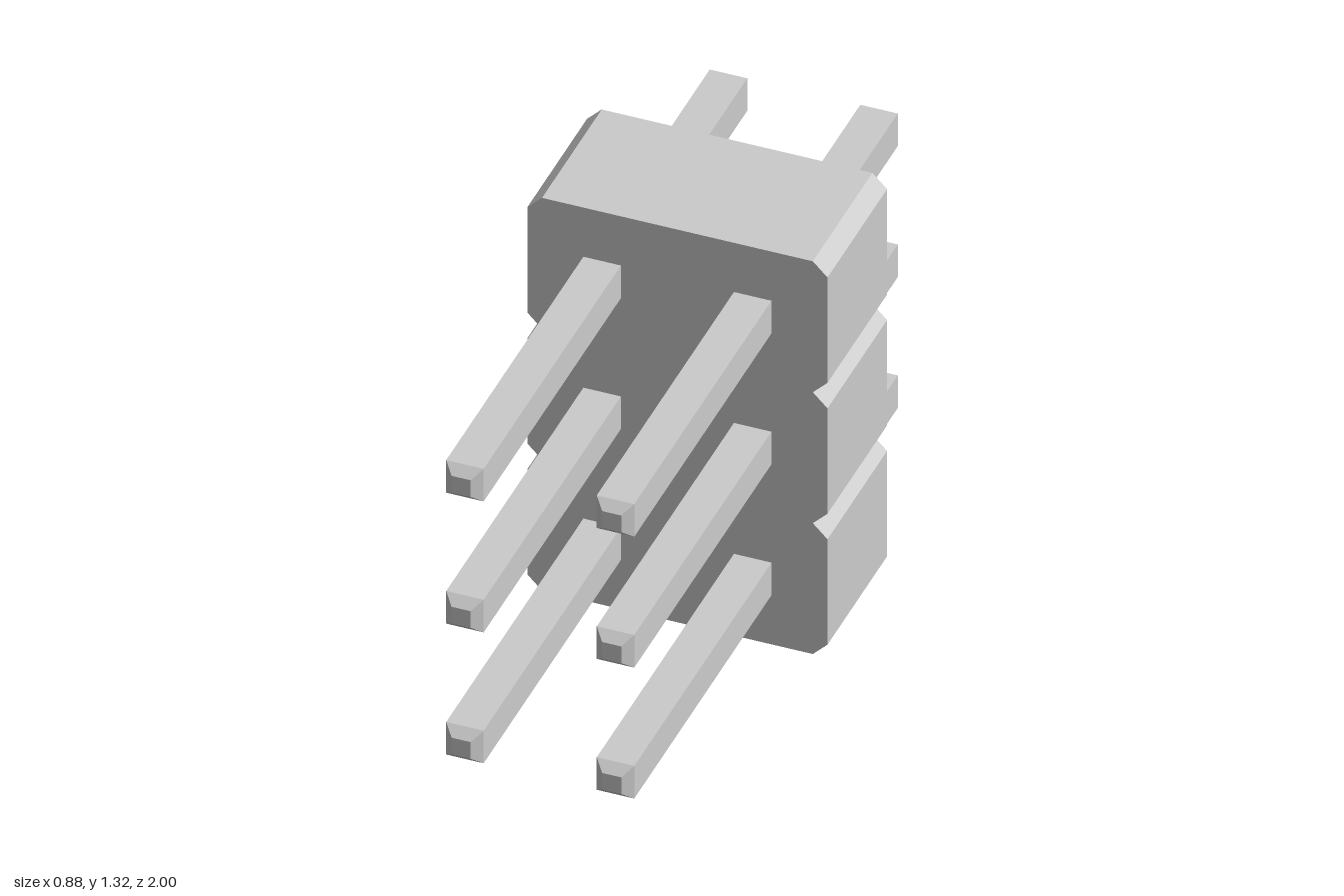
import * as THREE from 'three';

const PITCH = 0.4415, ROWS = 3, HALF_WIDTH = 0.44, CHAMFER = 0.043;
const BODY_BACK = -0.48, BODY_DEPTH = 0.44;
const PIN_HALF = 0.055, TIP_HALF = 0.028, TAPER = 0.028, PIN_LENGTH = 2;

// Outline of the housing: one chamfered cell per row, leaving V notches between rows
function housingShape() {
  const right = [];
  for (let i = 0; i < ROWS; i++) {
    const y0 = i * PITCH, y1 = y0 + PITCH;
    right.push(
      [HALF_WIDTH - CHAMFER, y0],
      [HALF_WIDTH, y0 + CHAMFER],
      [HALF_WIDTH, y1 - CHAMFER]
    );
  }
  right.push([HALF_WIDTH - CHAMFER, ROWS * PITCH]);
  const left = right.map(([x, y]) => [-x, y]).reverse();
  return new THREE.Shape([...right, ...left].map(([x, y]) => new THREE.Vector2(x, y)));
}

// Square pin running along z, with tapered tips at both ends
function pinGeometry() {
  const t = TIP_HALF;
  const tip = new THREE.Shape([[-t, -t], [t, -t], [t, t], [-t, t]].map(([x, y]) => new THREE.Vector2(x, y)));
  const depth = PIN_LENGTH - 2 * TAPER;
  return new THREE.ExtrudeGeometry(tip, {
    depth,
    bevelEnabled: true,
    bevelSegments: 1,
    bevelSize: PIN_HALF - TIP_HALF,
    bevelThickness: TAPER
  }).translate(0, 0, -depth / 2);
}

export function createModel() {
  const model = new THREE.Group();
  model.name = 'pinHeader';
  const material = new THREE.MeshStandardMaterial({ color: 0xcccccc, flatShading: true });

  // Housing block
  const housing = new THREE.Mesh(
    new THREE.ExtrudeGeometry(housingShape(), { depth: BODY_DEPTH, bevelEnabled: false }),
    material
  );
  housing.name = 'housing';
  housing.position.z = BODY_BACK;
  model.add(housing);

  // Two columns of pins, centred in each cell
  const pins = new THREE.Group();
  pins.name = 'pins';
  const geometry = pinGeometry();
  for (let row = 0; row < ROWS; row++) {
    for (const side of [-1, 1]) {
      const pin = new THREE.Mesh(geometry, material);
      pin.name = `${side > 0 ? 'left' : 'right'}Pin${row + 1}`;
      pin.position.set(side * PITCH / 2, (row + 0.5) * PITCH, 0);
      pins.add(pin);
    }
  }
  model.add(pins);
  return model;
}
